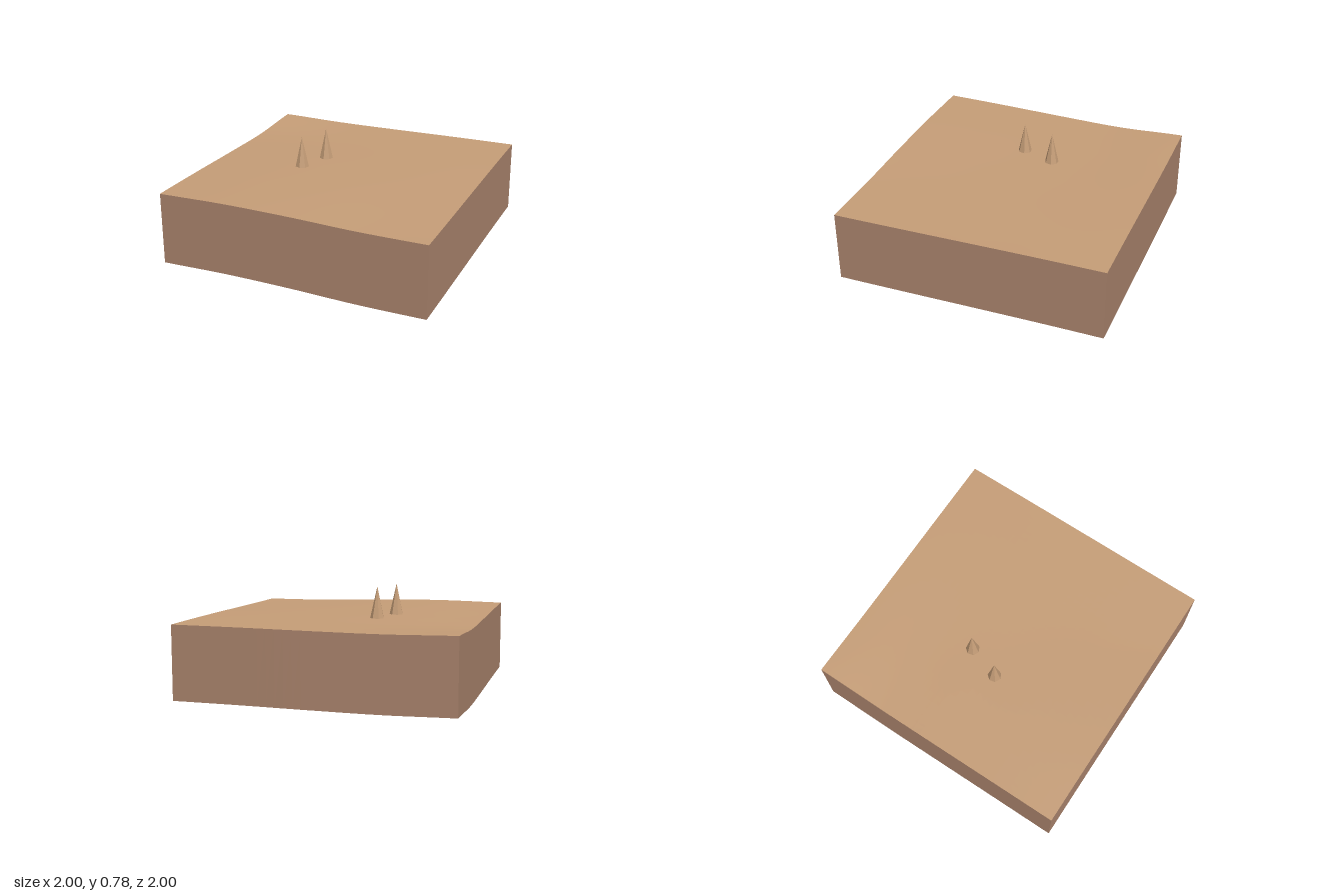
import * as THREE from 'three';

// Ground height above the skirt's hanging depth, sampled every 0.5 (rows run back to front)
const HEIGHTS = [
  [0.031, 0.022, 0.024, 0.029, 0.031],
  [0.007, 0.012, 0.020, 0.026, 0.027],
  [0.012, 0.019, 0.021, 0.022, 0.019],
  [0.022, 0.028, 0.024, 0.015, 0.010],
  [0.028, 0.034, 0.025, 0.007, 0.003],
];
const DEPTH = 0.535;
const SEGMENTS = 32;

// Smooth curve through evenly spaced values, t from -1 to 1
function smooth(values, t) {
  const s = (t + 1) * 2;
  const i = Math.min(3, Math.floor(s));
  const f = s - i;
  const at = (k) => values[Math.max(0, Math.min(4, k))];
  const a = at(i), b = at(i + 1);
  const m0 = (b - at(i - 1)) / 2, m1 = (at(i + 2) - a) / 2;
  return a + f * (m0 + f * (3 * (b - a) - 2 * m0 - m1 + f * (2 * (a - b) + m0 + m1)));
}

const groundHeight = (x, z) => DEPTH + smooth(HEIGHTS.map((row) => smooth(row, x)), z);

export function createModel() {
  const sand = new THREE.MeshStandardMaterial({ color: 0xc59d77, side: THREE.DoubleSide });
  sand.name = 'sand';
  const earth = new THREE.MeshStandardMaterial({ color: 0xa8826b, side: THREE.DoubleSide });
  earth.name = 'earth';
  const spikeSand = new THREE.MeshStandardMaterial({ color: 0xc59d77, flatShading: true });
  spikeSand.name = 'spikeSand';

  const model = new THREE.Group();
  model.name = 'terrainTile';
  const add = (name, geometry, material) => {
    const mesh = new THREE.Mesh(geometry, material);
    mesh.name = name;
    model.add(mesh);
    return mesh;
  };

  // Gently rolling ground
  const ground = new THREE.PlaneGeometry(2, 2, SEGMENTS, SEGMENTS).rotateX(-Math.PI / 2);
  const gp = ground.attributes.position;
  for (let i = 0; i < gp.count; i++) gp.setY(i, groundHeight(gp.getX(i), gp.getZ(i)));
  ground.computeVertexNormals();
  add('ground', ground, sand);

  // Four side walls of constant depth, following the ground's edges; open underneath
  ['frontWall', 'leftWall', 'backWall', 'rightWall'].forEach((name, k) => {
    const wall = new THREE.PlaneGeometry(2, 2, SEGMENTS, 1);
    wall.translate(0, 0, 1).rotateY((k * Math.PI) / 2);
    const p = wall.attributes.position;
    for (let i = 0; i < p.count; i++) {
      const top = groundHeight(p.getX(i), p.getZ(i));
      p.setY(i, p.getY(i) > 0 ? top : top - DEPTH);
    }
    wall.computeVertexNormals();
    add(name, wall, earth);
  });

  // Two seven-sided spikes standing on the ground
  [[-0.25, -0.17], [-0.335, 0.08]].forEach(([x, z], i) => {
    const height = 0.234;
    const spike = add(`spike${i + 1}`, new THREE.ConeGeometry(0.052, height, 7, 1, true), spikeSand);
    spike.position.set(x, 0.553 + height / 2, z);
  });

  return model;
}
